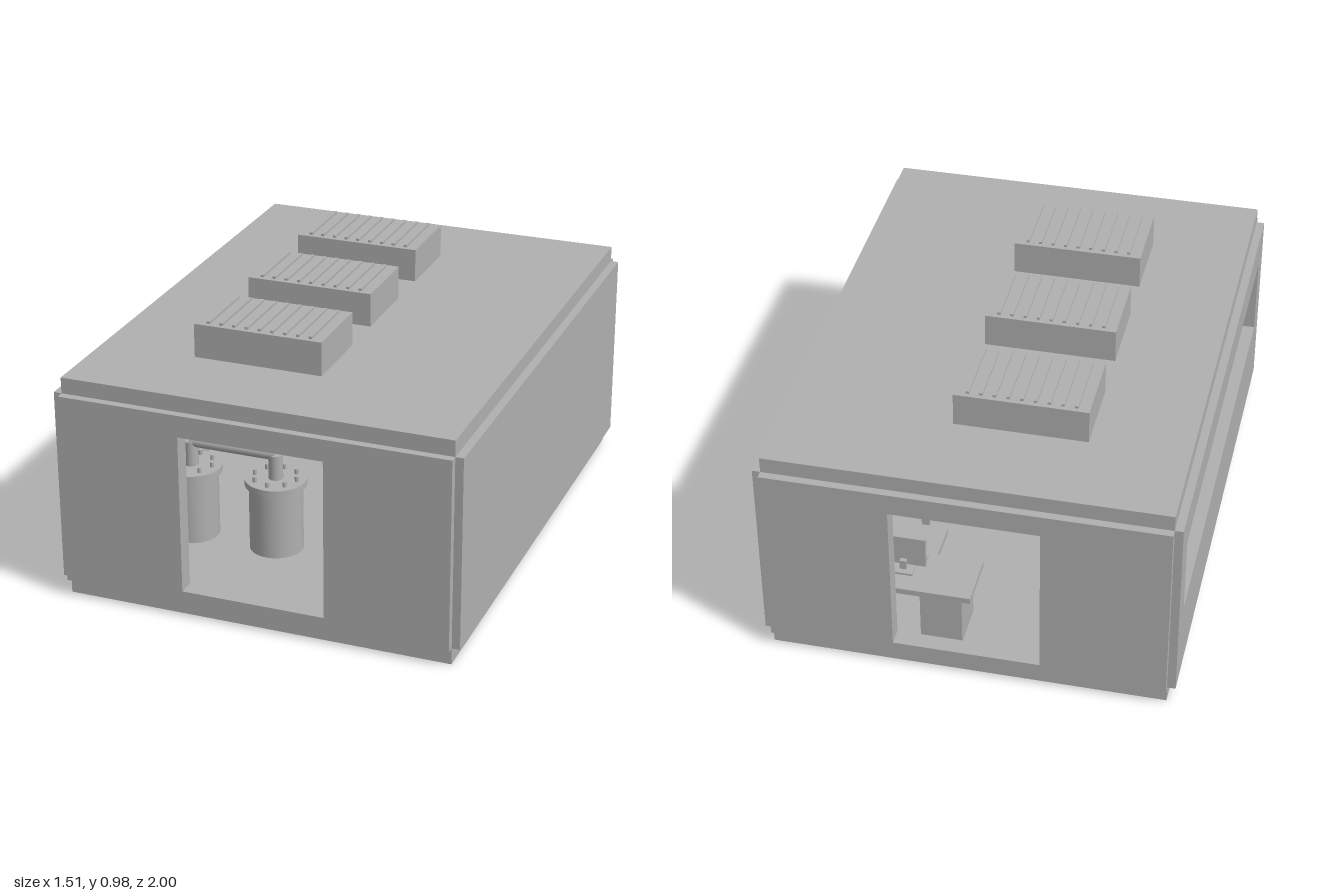
import * as THREE from 'three';

const grey = new THREE.MeshStandardMaterial({ color: 0xb0b0b0 });
grey.name = 'plain grey';

function add(parent, name, geometry, x = 0, y = 0, z = 0) {
  const mesh = new THREE.Mesh(geometry, grey);
  mesh.name = name;
  mesh.position.set(x, y, z);
  parent.add(mesh);
  return mesh;
}

function group(parent, name, x = 0, y = 0, z = 0) {
  const g = new THREE.Group();
  g.name = name;
  g.position.set(x, y, z);
  parent.add(g);
  return g;
}

// Box given by its limits on each axis
function box(parent, name, x0, x1, y0, y1, z0, z1) {
  return add(parent, name, new THREE.BoxGeometry(x1 - x0, y1 - y0, z1 - z0),
    (x0 + x1) / 2, (y0 + y1) / 2, (z0 + z1) / 2);
}

function rod(parent, name, radius, y0, y1, x = 0, z = 0, sides = 32) {
  return add(parent, name, new THREE.CylinderGeometry(radius, radius, y1 - y0, sides), x, (y0 + y1) / 2, z);
}

const FLOOR = 0.063, CEILING = 0.787, WALL = 0.065;

// Wall panel in the xy plane with one rectangular opening
function wallWithOpening(halfWidth, x0, x1, y0, y1) {
  const shape = new THREE.Shape([
    new THREE.Vector2(-halfWidth, FLOOR), new THREE.Vector2(halfWidth, FLOOR),
    new THREE.Vector2(halfWidth, CEILING), new THREE.Vector2(-halfWidth, CEILING)]);
  shape.holes.push(new THREE.Path([
    new THREE.Vector2(x0, y0), new THREE.Vector2(x0, y1),
    new THREE.Vector2(x1, y1), new THREE.Vector2(x1, y0)]));
  return new THREE.ExtrudeGeometry(shape, { depth: WALL, bevelEnabled: false });
}

function addShell(model) {
  const shell = group(model, 'building');
  box(shell, 'floorSlab', -0.725, 0.725, 0, FLOOR, -0.97, 0.97);
  box(shell, 'roofSlab', -0.725, 0.725, CEILING, 0.847, -0.97, 0.97);
  add(shell, 'frontWall', wallWithOpening(0.725, -0.27, 0.267, 0.105, 0.705), 0, 0, 1 - WALL);
  add(shell, 'backWall', wallWithOpening(0.725, -0.27, 0.267, 0.105, 0.705), 0, 0, -1);
  box(shell, 'solidSideWall', 0.755 - WALL, 0.755, FLOOR, CEILING, -0.97, 0.97);
  const side = add(shell, 'windowSideWall', wallWithOpening(0.97, -0.865, 0.865, 0.352, 0.655), -0.755);
  side.rotation.y = Math.PI / 2;
}

// Roof unit with nine slats
function addRoofVent(model, z) {
  const vent = group(model, 'roofVent', -0.122, 0, z);
  box(vent, 'ventBox', -0.242, 0.242, 0.847, 0.974, -0.15, 0.15);
  for (let i = -4; i <= 4; i++) {
    const x = i * 0.0485;
    box(vent, 'ventSlat', x - 0.006, x + 0.006, 0.974, 0.983, -0.133, 0.133);
  }
}

// Pressure vessel with bolted lid and outlet pipe
function addTank(model, x, z) {
  const tank = group(model, 'tank', x, 0, z);
  rod(tank, 'tankBody', 0.1, FLOOR, 0.32);
  rod(tank, 'tankLid', 0.115, 0.32, 0.344);
  rod(tank, 'outletPipe', 0.027, 0.344, 0.44);
  for (let i = 0; i < 8; i++) {
    const a = i * Math.PI / 4;
    rod(tank, 'lidBolt', 0.008, 0.344, 0.364, 0.083 * Math.cos(a), 0.083 * Math.sin(a), 12);
  }
}

// Pipe joining the two tanks, with a valve and handwheel halfway
function addPipework(model, z) {
  const pipes = group(model, 'pipework', 0, 0, z);
  const link = rod(pipes, 'linkPipe', 0.022, -0.17, 0.17, -0.291);
  link.position.y = 0.438;
  link.rotation.z = Math.PI / 2;
  rod(pipes, 'valveStem', 0.01, 0.44, 0.512, -0.291, 0, 16);
  rod(pipes, 'handwheel', 0.071, 0.508, 0.514, -0.291);
}

function addDesk(model) {
  const desk = group(model, 'desk', 0.27, 0, -0.815);
  box(desk, 'deskTop', -0.27, 0.27, 0.272, 0.295, -0.105, 0.105);
  for (const s of [-1, 1]) {
    const pedestal = group(desk, 'pedestal', s * 0.157);
    box(pedestal, 'drawerUnit', -0.077, 0.077, FLOOR, 0.272, -0.085, 0.085);
    for (const y of [0.145, 0.192, 0.238])
      box(pedestal, 'drawerHandle', -0.052, 0.052, y - 0.004, y + 0.004, 0.085, 0.095);
  }
  // Monitor and keyboard
  box(desk, 'monitorFoot', -0.04, 0.04, 0.295, 0.303, -0.03, 0.03);
  box(desk, 'monitorStem', -0.012, 0.012, 0.303, 0.34, -0.008, 0.008);
  box(desk, 'monitor', -0.08, 0.08, 0.315, 0.437, 0.008, 0.028);
  box(desk, 'keyboard', -0.07, 0.07, 0.295, 0.302, 0.05, 0.095);
}

function addChair(model) {
  const chair = group(model, 'chair', 0.27, 0, -0.58);
  box(chair, 'seat', -0.085, 0.085, 0.22, 0.245, -0.08, 0.08);
  box(chair, 'backRest', -0.085, 0.085, 0.282, 0.44, 0.07, 0.09);
  box(chair, 'backSupport', -0.015, 0.015, 0.23, 0.3, 0.078, 0.088);
  rod(chair, 'post', 0.015, 0.09, 0.22, 0, 0, 16);
  // Five-legged foot
  for (let i = 0; i < 5; i++) {
    const leg = group(chair, 'footLeg');
    leg.rotation.y = Math.PI / 2 + i * Math.PI * 0.4;
    box(leg, 'footSpoke', 0, 0.085, 0.083, 0.105, -0.008, 0.008);
    rod(leg, 'caster', 0.011, FLOOR, 0.083, 0.075, 0, 12);
  }
}

export function createModel() {
  const model = new THREE.Group();
  model.name = 'plantRoom';
  addShell(model);
  for (const z of [-0.487, 0, 0.487]) addRoofVent(model, z);
  for (const x of [-0.46, -0.122]) addTank(model, x, 0.487);
  addPipework(model, 0.487);
  addDesk(model);
  addChair(model);
  return model;
}
